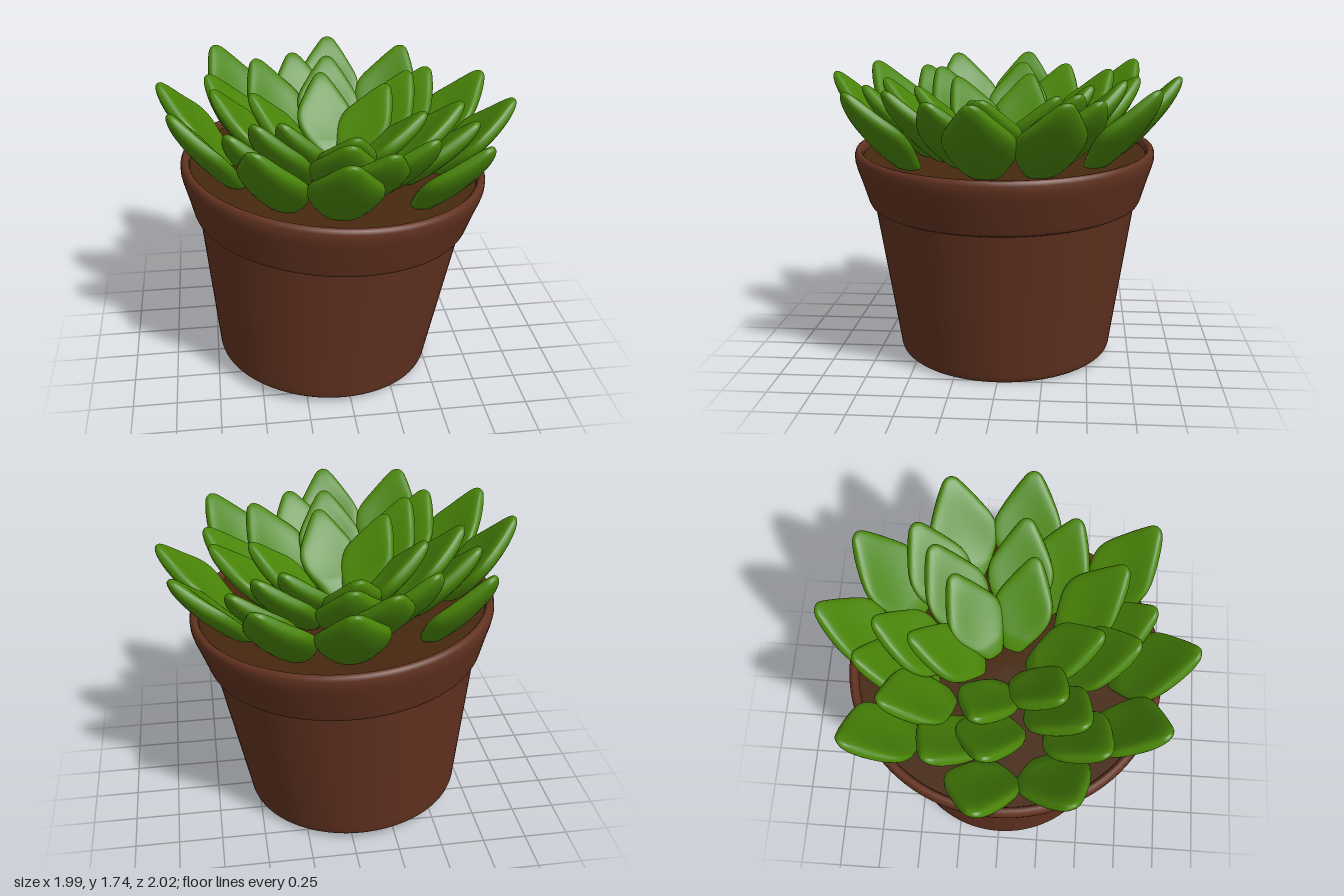
import * as THREE from 'three';

const mat = (color) => new THREE.MeshStandardMaterial({ color, roughness: 0.8 });

// Outline of a leaf: (position along the leaf, relative half width)
const outline = new THREE.SplineCurve([
  [0, 0], [0.02, 0.25], [0.2, 0.62], [0.38, 0.91], [0.52, 1], [0.65, 0.92],
  [0.82, 0.6], [0.94, 0.31], [0.985, 0.16], [1, 0],
].map(([u, w]) => new THREE.Vector2(u, w)));

// Thick cupped leaf growing along +z from (r0, y0) to (r1, y1), curving upward
function leafGeometry(r0, y0, r1, y1, halfWidth, halfThick) {
  const rings = 40, sides = 28, pos = [], idx = [];
  const rise = y1 - y0, run = r1 - r0;
  for (let i = 0; i <= rings; i++) {
    const p = outline.getPoint(i / rings);
    const u = Math.min(1, Math.max(0, p.x)), w = Math.max(0, p.y) * halfWidth;
    const z = r0 + run * u, y = y0 + rise * (0.58 * u + 0.42 * u * u);
    const slope = Math.atan2(rise * (0.58 + 0.84 * u), run);
    const t = halfThick * Math.sqrt(Math.max(0, 1 - u ** 8)) * Math.min(1, Math.sqrt(u * 5));
    for (let j = 0; j < sides; j++) {
      const a = (j / sides) * Math.PI * 2, c = Math.cos(a), s = Math.sin(a);
      const x = w * Math.sign(c) * Math.abs(c) ** 0.8;
      // The edges lift to cup the upper face
      const n = t * Math.sign(s) * Math.abs(s) ** 0.7 + 1.2 * x * x;
      pos.push(x, y + n * Math.cos(slope), z - n * Math.sin(slope));
    }
  }
  for (let i = 0; i < rings; i++) {
    for (let j = 0; j < sides; j++) {
      const a = i * sides + j, b = i * sides + ((j + 1) % sides);
      idx.push(a, b, a + sides, b, b + sides, a + sides);
    }
  }
  const g = new THREE.BufferGeometry();
  g.setAttribute('position', new THREE.Float32BufferAttribute(pos, 3));
  g.setIndex(idx);
  g.computeVertexNormals();
  return g;
}

// Leaf layers from outside to inside; tips are (x, z), each mirrored through the axis
const layers = [
  { name: 'outerLeaf', tipY: 1.64, length: 0.43, width: 0.195,
    tips: [[-0.06, 1.0], [-0.52, 0.85], [-0.92, 0.38], [0.99, 0.09], [0.67, 0.78]] },
  { name: 'lowerMiddleLeaf', tipY: 1.6, length: 0.43, width: 0.185,
    tips: [[0.19, 0.78], [0.72, 0.35], [0.63, -0.55]] },
  { name: 'upperMiddleLeaf', tipY: 1.61, length: 0.42, width: 0.185,
    tips: [[-0.02, 0.7], [0.43, 0.62], [0.7, 0.07], [0.49, -0.44]] },
  { name: 'innerLeaf', tipY: 1.57, length: 0.4, width: 0.165,
    tips: [[0.04, 0.51], [0.48, 0.13], [0.34, -0.32]] },
];

export function createModel() {
  const model = new THREE.Group();
  model.name = 'pottedSucculent';
  const clay = mat(0x623220), earth = mat(0x46280f), green = mat(0x4a8608);
  const add = (name, geometry, material) => {
    const mesh = new THREE.Mesh(geometry, material);
    mesh.name = name;
    model.add(mesh);
    return mesh;
  };
  const lathe = (points) =>
    new THREE.LatheGeometry(points.map(([r, y]) => new THREE.Vector2(r, y)), 96);

  // Tapered pot body with a softened foot
  add('potBody', lathe([[0, 0], [0.605, 0], [0.62, 0.003], [0.63, 0.012], [0.636, 0.03],
    [0.64, 0.06], [0.763, 0.9], [0.768, 0.94]]), clay);

  // Flared rim with a rounded lip
  add('potRim', lathe([[0.755, 0.91], [0.776, 0.91], [0.789, 0.917], [0.798, 0.935],
    [0.835, 1.06], [0.858, 1.13], [0.868, 1.17], [0.868, 1.205], [0.861, 1.224], [0.848, 1.232],
    [0.835, 1.23], [0.825, 1.22], [0.818, 1.2], [0.815, 1.16]]), clay);

  // Soil surface
  const soil = add('soil', new THREE.CircleGeometry(0.82, 64), earth);
  soil.rotation.x = -Math.PI / 2;
  soil.position.y = 1.19;

  // Rosette of leaves
  for (const { name, tipY, length, width, tips } of layers) {
    for (const [x, z] of tips) {
      const r = Math.hypot(x, z);
      const geometry = leafGeometry(Math.max(0.08, r - length), 1.17, r, tipY, width, 0.05);
      for (const side of [1, -1]) {
        add(name, geometry, green).rotation.y = Math.atan2(side * x, side * z);
      }
    }
  }

  // The whole plant leans slightly to its left
  model.rotation.z = -0.061;
  model.position.set(-0.096, 0.038, 0);
  const group = new THREE.Group();
  group.name = 'plant';
  group.add(model);
  return group;
}
